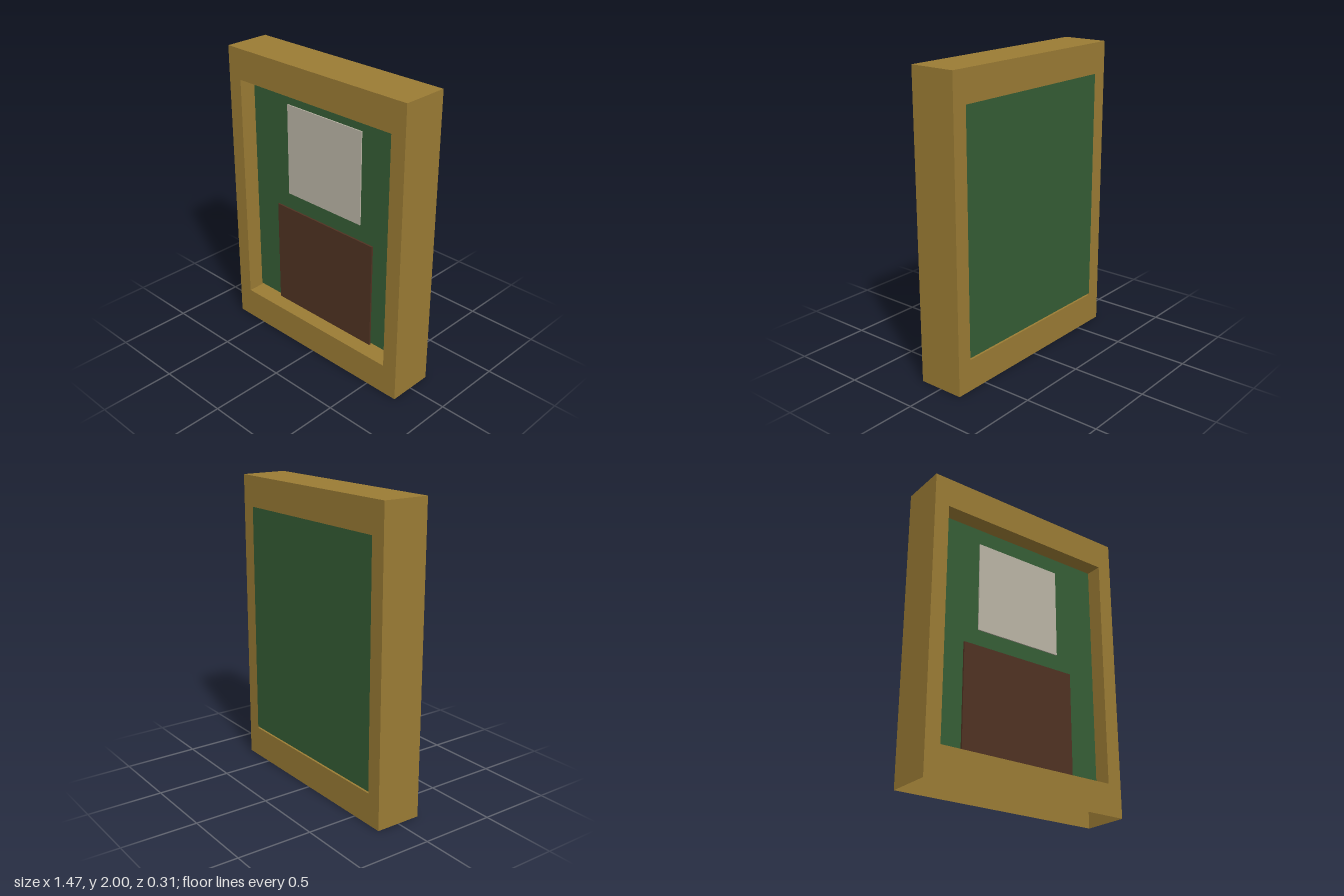
import * as THREE from 'three';

export function createModel() {
  const model = new THREE.Group();

  const paint = (name, color, side = THREE.FrontSide) => {
    const m = new THREE.MeshStandardMaterial({ color, side });
    m.name = name;
    return m;
  };
  const wood = paint('golden wood', 0x9a7b34, THREE.DoubleSide);
  const green = paint('dark green', 0x355d35);
  const paper = paint('pale grey', 0xbab4a5);
  const brown = paint('dark brown', 0x4f3222);

  // Box given by its lower and upper limits
  const box = (name, material, [x0, y0, z0], [x1, y1, z1]) => {
    const mesh = new THREE.Mesh(new THREE.BoxGeometry(x1 - x0, y1 - y0, z1 - z0), material);
    mesh.position.set((x0 + x1) / 2, (y0 + y1) / 2, (z0 + z1) / 2);
    mesh.name = name;
    model.add(mesh);
    return mesh;
  };

  const W = 0.735, D = 0.157;            // outer half width and half depth
  const w = 0.632, low = 0.21, high = 1.795; // opening

  // Frame
  box('frameTop', wood, [-W, high, -D], [W, 2, D]);
  box('frameLeft', wood, [w, low, -D], [W, high, D]);
  box('frameRight', wood, [-W, low, -D], [-w, high, D]);

  // Hollow base beam, open underneath: leave out the bottom face
  const base = box('frameBase', wood, [-W, 0, -D], [W, low, D]);
  const index = Array.from(base.geometry.index.array);
  index.splice(18, 6);
  base.geometry.setIndex(index);
  base.geometry.clearGroups();

  // Panel filling the back of the opening, with a narrow gap at the base
  box('backPanel', green, [-w, 0.222, -D], [w, high, 0.043]);

  // Plates on the panel
  box('upperPlate', paper, [-0.316, 1.06, 0.043], [0.316, 1.684, 0.051]);
  box('lowerPlate', brown, [-0.422, low, 0.04], [0.422, 0.947, 0.055]);

  return model;
}
